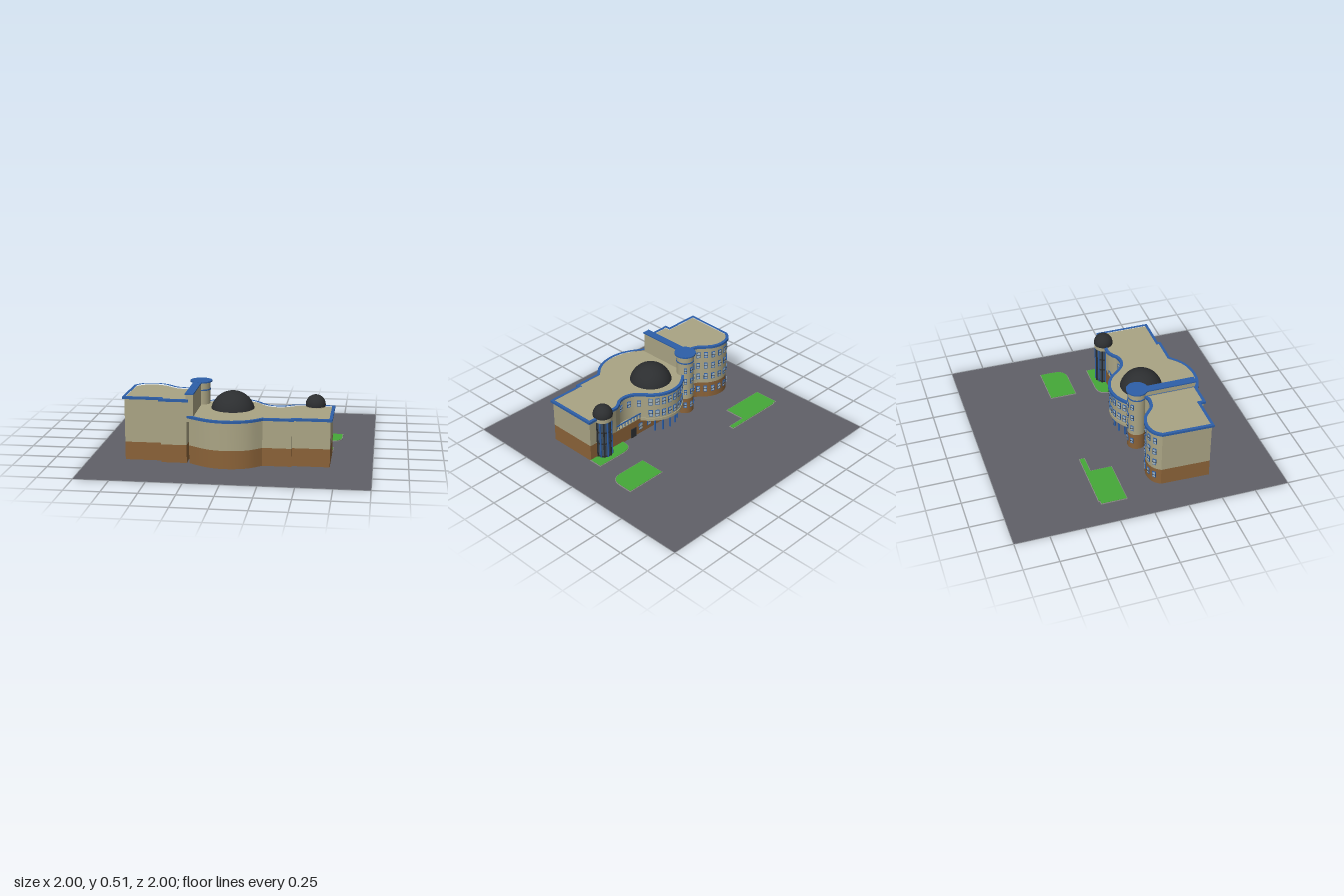
import * as THREE from 'three';
import { toCreasedNormals } from 'three/addons/utils/BufferGeometryUtils.js';

const mat = (color, side = THREE.FrontSide) => new THREE.MeshStandardMaterial({ color, side });
const V = (list) => list.map(([x, z]) => new THREE.Vector2(x, z));

export function createModel() {
  const model = new THREE.Group();
  const beige = mat(0xaaa484), brown = mat(0x8a6238), blue = mat(0x2d5fa8);
  const green = mat(0x45a838), dark = mat(0x2c2e30), glass = mat(0x9fb4c4), curb = mat(0x8a8a88);

  function add(name, geo, material, x = 0, y = 0, z = 0, parent = model) {
    const mesh = new THREE.Mesh(geo, material);
    mesh.name = name;
    mesh.position.set(x, y, z);
    parent.add(mesh);
    return mesh;
  }
  const box = (name, m, x0, x1, y0, y1, z0, z1) =>
    add(name, new THREE.BoxGeometry(x1 - x0, y1 - y0, z1 - z0), m, (x0 + x1) / 2, (y0 + y1) / 2, (z0 + z1) / 2);
  const cyl = (name, m, r, x, z, y0, y1, seg = 32) =>
    add(name, new THREE.CylinderGeometry(r, r, y1 - y0, seg), m, x, (y0 + y1) / 2, z);

  // plan drawn in x/z, raised from y0 to y1
  function slab(name, shape, y0, y1, m, bevel = 0) {
    let geo = new THREE.ExtrudeGeometry(shape, {
      depth: y1 - y0, curveSegments: 6, bevelEnabled: bevel > 0,
      bevelSize: bevel, bevelThickness: 0.0005, bevelSegments: 1,
    });
    geo.rotateX(Math.PI / 2);
    geo = toCreasedNormals(geo, 0.5);
    return add(name, geo, m, 0, y1, 0);
  }

  // offset a plan outward by d
  function offset(shape, d) {
    let p = shape.getPoints(4);
    p = p.filter((a, i) => a.distanceTo(p[(i + 1) % p.length]) > 1e-4);
    const s = THREE.ShapeUtils.isClockWise(p) ? -1 : 1;
    return p.map((b, i) => {
      const a = p[(i + p.length - 1) % p.length], c = p[(i + 1) % p.length];
      const u = b.clone().sub(a).normalize(), v = c.clone().sub(b).normalize();
      const n = new THREE.Vector2(u.y + v.y, -u.x - v.x).normalize();
      const k = Math.max(0.5, n.x * u.y - n.y * u.x);
      return b.clone().addScaledVector(n, (s * d) / k);
    });
  }
  function trim(name, shape, y0, y1) {
    const ring = new THREE.Shape(offset(shape, 0.014));
    ring.holes.push(new THREE.Path(offset(shape, -0.008)));
    slab(name, ring, y0, y1, blue);
  }

  // framed windows set along a wall curve, facing the rear
  function windows(name, points, from, to, count, rows, w = 0.028, h = 0.05) {
    const curve = new THREE.SplineCurve(points);
    const group = new THREE.Group();
    group.name = name;
    model.add(group);
    for (let i = 0; i < count; i++) {
      const t = from + ((to - from) * i) / Math.max(1, count - 1);
      const p = curve.getPointAt(t), g = curve.getTangentAt(t);
      for (const y of rows) {
        const frame = add('windowFrame', new THREE.BoxGeometry(w, h, 0.01), blue, p.x, y, p.y, group);
        frame.rotation.y = Math.atan2(-g.y, g.x);
        add('windowPane', new THREE.BoxGeometry(w - 0.008, h - 0.01, 0.013), glass, 0, 0, 0, frame);
        add('windowBar', new THREE.BoxGeometry(w, 0.004, 0.015), dark, 0, 0, 0, frame);
      }
    }
  }

  // ground sheet
  const ground = add('ground', new THREE.PlaneGeometry(2, 2), mat(0x606068, THREE.DoubleSide));
  ground.rotation.x = -Math.PI / 2;

  // lawns with kerbs
  const lawnA = new THREE.Shape(V([[-0.81, -0.325], [-0.78, -0.325], [-0.78, -0.335], [-0.315, -0.335],
    [-0.315, -0.3], [-0.46, -0.3], [-0.46, -0.14], [-0.81, -0.14]]));
  const lawnB = new THREE.Shape();
  lawnB.moveTo(0.45, -0.335).lineTo(0.76, -0.335).lineTo(0.76, -0.23);
  lawnB.quadraticCurveTo(0.76, -0.14, 0.67, -0.14).lineTo(0.45, -0.14);
  const lawnC = new THREE.Shape();
  lawnC.moveTo(0.39, 0.13).lineTo(0.39, 0.11).quadraticCurveTo(0.39, 0.03, 0.48, 0.03);
  lawnC.lineTo(0.705, 0.03).lineTo(0.705, 0.13);
  for (const lawn of [lawnA, lawnB, lawnC]) {
    slab('lawnKerb', lawn, 0.001, 0.007, curb, 0.005);
    slab('lawn', lawn, 0.001, 0.01, green);
  }

  // main block: wavy upper storeys over a straight-backed ground floor
  const frontBow = V([[-0.18, 0.605], [-0.1, 0.64], [-0.01, 0.652], [0.08, 0.64], [0.16, 0.605], [0.235, 0.54]]);
  const rearWave = V([[0.41, 0.15], [0.37, 0.178], [0.31, 0.188], [0.25, 0.172], [0.2, 0.13], [0.14, 0.062],
    [0.07, 0.018], [-0.01, 0.002], [-0.09, 0.015], [-0.16, 0.055], [-0.2, 0.09]]);
  const startMain = () => {
    const s = new THREE.Shape();
    s.moveTo(-0.28, 0.54).splineThru(frontBow);
    return s.lineTo(0.44, 0.54).lineTo(0.44, 0.52).lineTo(0.705, 0.52).lineTo(0.705, 0.13);
  };
  const lower = startMain().lineTo(-0.28, 0.13);
  const upper = startMain().lineTo(0.45, 0.13).splineThru(rearWave).lineTo(-0.28, 0.12);
  slab('mainGroundFloor', lower, 0, 0.13, brown);
  slab('mainUpperWalls', upper, 0.13, 0.336, beige);
  trim('mainRoofTrim', upper, 0.328, 0.345);
  box('terraceFloor', beige, 0.18, 0.46, 0.128, 0.134, 0.13, 0.2);
  box('terraceRail', blue, 0.2, 0.45, 0.165, 0.172, 0.13, 0.137);
  for (let i = 0; i <= 8; i++) {
    const x = 0.205 + i * 0.03;
    box('terracePost', blue, x, x + 0.005, 0.13, 0.168, 0.131, 0.136);
  }
  box('rearDoor', dark, 0.255, 0.305, 0, 0.075, 0.122, 0.135);

  // overhanging rear bay on columns
  const bay = new THREE.Shape();
  bay.moveTo(0.2, 0.13).splineThru(rearWave.slice(5)).lineTo(-0.2, 0.13);
  slab('bayLedge', new THREE.Shape(offset(bay, 0.006)), 0.11, 0.132, beige);
  for (const [x, z] of [[-0.13, 0.075], [-0.075, 0.045], [-0.01, 0.032], [0.055, 0.045], [0.11, 0.075]])
    cyl('bayColumn', blue, 0.008, x, z, 0, 0.112, 12);
  windows('bayWindows', rearWave, 0.44, 0.93, 8, [0.175, 0.275], 0.03, 0.055);
  windows('terraceWindows', rearWave, 0.1, 0.32, 3, [0.26], 0.03, 0.05);
  windows('groundWindows', V([[0.24, 0.13], [-0.18, 0.13]]), 0.08, 0.92, 5, [0.06], 0.035, 0.055);

  // taller side wing
  const wingWave = V([[-0.35, 0.185], [-0.43, 0.168], [-0.48, 0.128], [-0.53, 0.09], [-0.61, 0.07],
    [-0.69, 0.09], [-0.735, 0.14]]);
  const wing = new THREE.Shape(V([[-0.745, 0.5], [-0.48, 0.5], [-0.48, 0.54], [-0.298, 0.54], [-0.298, 0.17]]));
  wing.splineThru(wingWave);
  slab('wingBase', wing, 0, 0.13, brown);
  slab('wingWalls', wing, 0.13, 0.45, beige);
  trim('wingRoofTrim', wing, 0.443, 0.46);
  windows('wingWindows', wingWave, 0.1, 0.88, 7, [0.075, 0.19, 0.285, 0.38]);

  // stair tower and the raised spine behind it
  const tx = -0.257, tz = 0.117;
  cyl('stairTowerBase', brown, 0.066, tx, tz, 0, 0.13);
  cyl('stairTower', beige, 0.065, tx, tz, 0.13, 0.497);
  cyl('stairTowerBand', blue, 0.068, tx, tz, 0.437, 0.447);
  cyl('stairTowerCap', blue, 0.08, tx, tz, 0.496, 0.506);
  const arc = [];
  for (let i = 0; i <= 8; i++) {
    const a = -0.5 - (i / 8) * 2.14;
    arc.push(new THREE.Vector2(tx + 0.065 * Math.cos(a), tz + 0.065 * Math.sin(a)));
  }
  windows('stairTowerWindows', arc, 0.15, 0.85, 3, [0.075, 0.19, 0.285, 0.38], 0.024, 0.045);
  box('spineWall', beige, -0.3, -0.25, 0.3, 0.497, 0.13, 0.545);
  box('spineCap', blue, -0.305, -0.245, 0.496, 0.505, 0.13, 0.552);

  // main dome, its centre sunk below the roof
  add('mainDome', new THREE.SphereGeometry(0.16, 40, 16, 0, Math.PI * 2, 0, Math.PI * 0.45), dark, -0.01, 0.3, 0.235);

  // glazed corner turret with posts and a small dome
  const cx = 0.578, cz = 0.128;
  cyl('turretGlass', mat(0x3d4f63), 0.052, cx, cz, 0.005, 0.315);
  for (let i = 0; i < 14; i++) {
    const a = (i / 14) * Math.PI * 2;
    cyl('turretPost', i % 2 ? blue : dark, 0.006, cx + 0.061 * Math.cos(a), cz + 0.061 * Math.sin(a), 0.005, 0.315, 8);
  }
  for (const y of [0.01, 0.12, 0.215]) cyl('turretBand', dark, 0.06, cx, cz, y, y + 0.008);
  cyl('turretCrown', beige, 0.069, cx, cz, 0.31, 0.347);
  add('turretDome', new THREE.SphereGeometry(0.072, 32, 20, 0, Math.PI * 2, 0, Math.PI * 0.55), dark, cx, 0.353, cz);

  return model;
}
